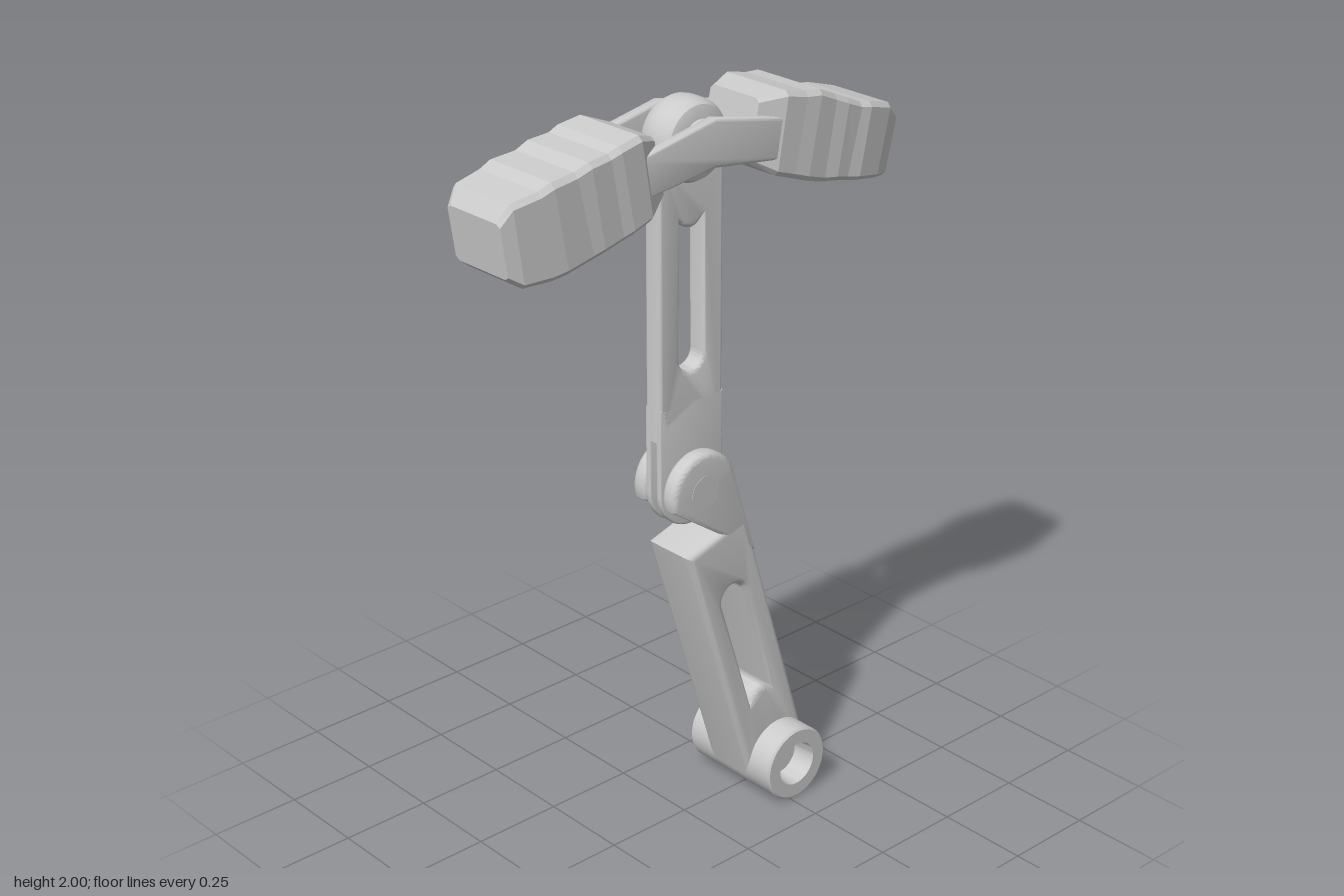
import * as THREE from 'three';
import { toCreasedNormals } from 'three/addons/utils/BufferGeometryUtils.js';

const material = new THREE.MeshStandardMaterial({ color: 0xcccccc });
const facetMaterial = new THREE.MeshStandardMaterial({ color: 0xcccccc, flatShading: true });

function add(parent, name, geometry, mat = material) {
  const mesh = new THREE.Mesh(geometry, mat);
  mesh.name = name;
  parent.add(mesh);
  return mesh;
}

// Extrudes a side profile (shape x = depth z, shape y = height) across x, centred on cx
function plate(shape, width, cx, bevel) {
  const g = new THREE.ExtrudeGeometry(shape, {
    depth: width - 2 * bevel, bevelEnabled: true, bevelThickness: bevel,
    bevelSize: bevel, bevelOffset: -bevel, bevelSegments: 3, curveSegments: 20,
  });
  g.translate(0, 0, bevel - width / 2);
  g.rotateY(-Math.PI / 2);
  g.translate(cx, 0, 0);
  return toCreasedNormals(g, 0.6);
}

// Strip between two heights, each end flat or rounded
function strip(r, bottom, top, roundBottom, roundTop) {
  const s = new THREE.Shape();
  s.moveTo(r, bottom);
  if (roundTop) s.absarc(0, top, r, 0, Math.PI, false);
  else s.lineTo(r, top).lineTo(-r, top);
  if (roundBottom) s.absarc(0, bottom, r, Math.PI, 2 * Math.PI, false);
  else s.lineTo(-r, bottom);
  return s;
}

// Long slot: one end rounded, the other bulging inward
function slot(blunt, round) {
  const r = 0.04, dir = Math.sign(round - blunt), p = new THREE.Path();
  p.moveTo(-r, blunt);
  p.quadraticCurveTo(0, blunt + dir * 0.05, r, blunt);
  p.absarc(0, round, r, 0, dir * Math.PI, dir < 0);
  p.lineTo(-r, blunt);
  return p;
}

// Solid of revolution about the x axis
function turned(profile, segments = 48) {
  const g = new THREE.LatheGeometry(profile.map(([r, h]) => new THREE.Vector2(r, h)), segments);
  g.rotateZ(-Math.PI / 2);
  return toCreasedNormals(g, 0.6);
}

// Ridged pad lofted along z; station = [zTop, yTop, zBottom, yBottom, halfWidth]
function pad(stations) {
  const pos = [], c = 0.012;
  const rings = stations.map(([zt, yt, zb, yb, w]) => {
    const k = 0.06;
    return [[w, 1 - k], [w, k], [w - c, 0], [c - w, 0], [-w, k], [-w, 1 - k], [c - w, 1], [w - c, 1]]
      .map(([x, t]) => [x, yt + (yb - yt) * t, zt + (zb - zt) * t]);
  });
  const tri = (...pts) => pts.forEach((p) => pos.push(...p));
  for (let i = 0; i < rings.length - 1; i++) {
    for (let j = 0; j < 8; j++) {
      const k = (j + 1) % 8, a = rings[i], b = rings[i + 1];
      tri(a[j], a[k], b[k]);
      tri(a[j], b[k], b[j]);
    }
  }
  const first = rings[0], last = rings[rings.length - 1];
  for (let j = 1; j < 7; j++) {
    tri(last[0], last[j], last[j + 1]);
    tri(first[0], first[j + 1], first[j]);
  }
  const g = new THREE.BufferGeometry();
  g.setAttribute('position', new THREE.Float32BufferAttribute(pos, 3));
  g.computeVertexNormals();
  return g;
}

export function createModel() {
  const model = new THREE.Group();
  model.name = 'pedalCrank';
  const R = 0.105, pivotY = 0.985, length = 0.92;

  // Lower arm: slotted body, fork cheeks and cross tube, tilted backward
  const lower = new THREE.Group();
  lower.name = 'lowerArm';
  lower.position.y = pivotY;
  lower.rotation.x = 0.298;
  model.add(lower);
  const body = strip(R, -length, -0.15, true, false);
  body.holes.push(slot(-0.7, -0.36));
  add(lower, 'lowerArmBody', plate(body, 0.16, 0, 0.018));
  for (const side of [-1, 1]) {
    add(lower, 'forkCheek', plate(strip(R, -0.27, 0, false, true), 0.05, side * 0.055, 0.014));
  }
  const tube = add(lower, 'crossTube', turned([
    [0, -0.09], [0.056, -0.09], [0.062, -0.155], [0.1, -0.155], [R, -0.15],
    [R, 0.15], [0.1, 0.155], [0.062, 0.155], [0.056, 0.09], [0, 0.09],
  ]));
  tube.position.y = -length;

  // Upper arm: slotted bar ending in two thin tongues at the pivot
  const bar = strip(R, 1.13, 1.86, false, false);
  bar.holes.push(slot(1.7, 1.34));
  add(model, 'upperArm', plate(bar, 0.056, 0, 0.01));
  for (const side of [-1, 1]) {
    add(model, 'upperArmTongue', plate(strip(R, pivotY, 1.22, true, false), 0.017, side * 0.0195, 0.004));
    const pin = add(model, 'pivotPin', new THREE.CylinderGeometry(0.045, 0.045, 0.066, 24));
    pin.rotation.z = Math.PI / 2;
    pin.position.set(side * 0.048, pivotY, 0);
  }

  // Hub and axle carrying the pedal
  const hub = add(model, 'hub', turned([
    [0, -0.057], [0.075, -0.057], [0.093, -0.05], [0.102, -0.034], [R, -0.015],
    [R, 0.015], [0.102, 0.034], [0.093, 0.05], [0.075, 0.057], [0, 0.057],
  ]));
  hub.position.y = 1.895;
  const axle = add(model, 'axle', new THREE.CylinderGeometry(0.055, 0.055, 0.18, 32));
  axle.rotation.z = Math.PI / 2;
  axle.position.y = 1.9;

  // Bent side rails joining the pads
  const rail = new THREE.Shape([
    [-0.24, 1.815], [0, 1.846], [0.24, 1.815], [0.24, 1.92], [0, 1.968], [-0.24, 1.92],
  ].map(([z, y]) => new THREE.Vector2(z, y)));
  for (const side of [-1, 1]) add(model, 'sideRail', plate(rail, 0.032, side * 0.096, 0.008));

  // Ridged pads, front and back
  add(model, 'frontPad', pad([
    [0.172, 1.955, 0.14, 1.8, 0.085], [0.235, 1.978, 0.2, 1.762, 0.115],
    [0.3, 1.967, 0.26, 1.745, 0.12], [0.33, 1.956, 0.29, 1.735, 0.116],
    [0.39, 1.95, 0.35, 1.722, 0.12], [0.43, 1.935, 0.38, 1.713, 0.116],
    [0.5, 1.928, 0.46, 1.698, 0.12], [0.535, 1.914, 0.5, 1.692, 0.116],
    [0.61, 1.9, 0.58, 1.692, 0.108], [0.638, 1.857, 0.617, 1.719, 0.095],
  ]), facetMaterial);
  add(model, 'backPad', pad([
    [-0.637, 1.84, -0.597, 1.684, 0.095], [-0.6, 1.878, -0.555, 1.69, 0.108],
    [-0.52, 1.9, -0.48, 1.705, 0.12], [-0.49, 1.905, -0.44, 1.713, 0.116],
    [-0.44, 1.926, -0.4, 1.722, 0.12], [-0.4, 1.944, -0.36, 1.727, 0.116],
    [-0.345, 1.968, -0.3, 1.745, 0.12], [-0.3, 1.972, -0.255, 1.761, 0.116],
    [-0.235, 1.986, -0.2, 1.78, 0.115], [-0.165, 1.975, -0.135, 1.82, 0.085],
  ]), facetMaterial);

  return model;
}
